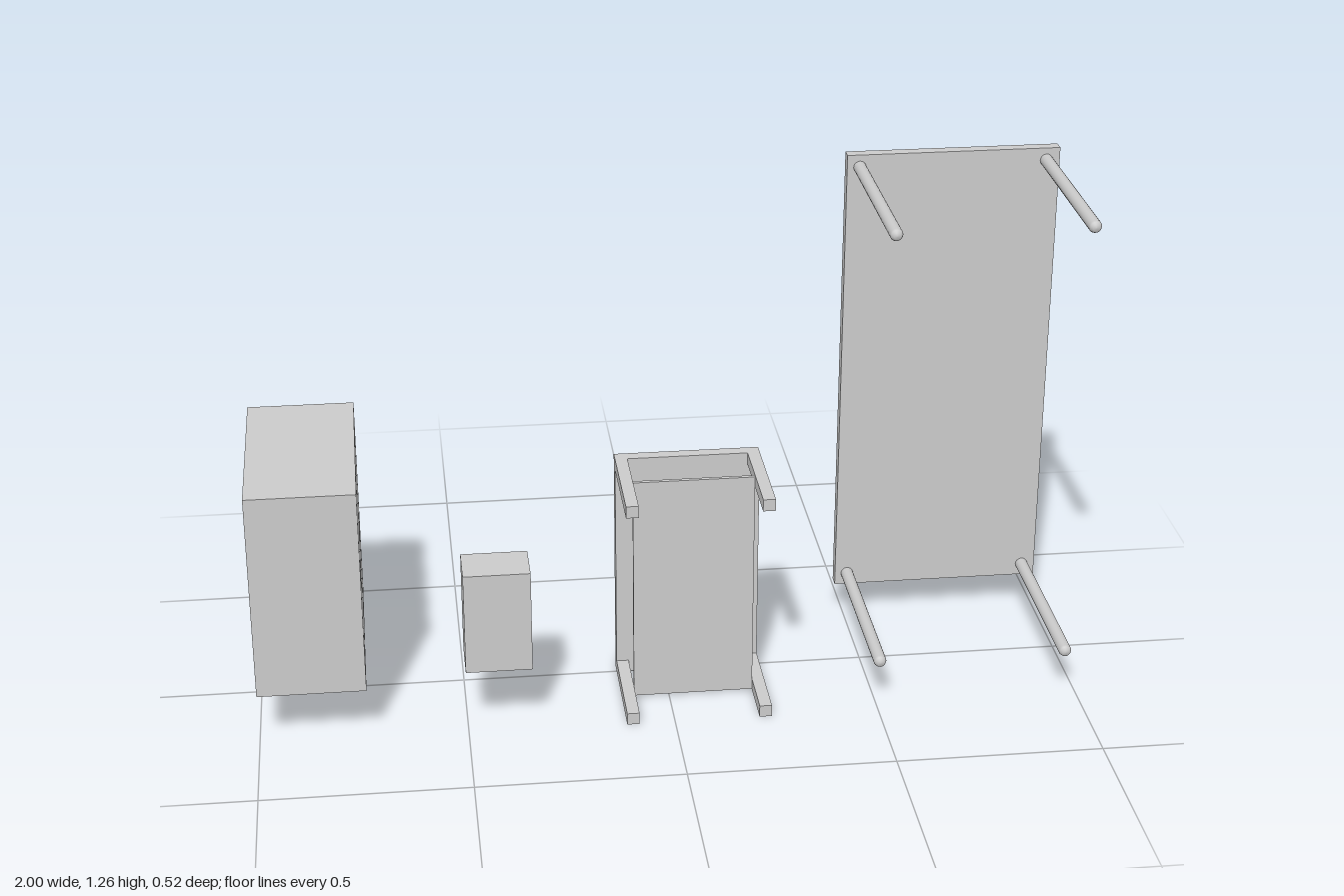
import * as THREE from 'three';

const material = new THREE.MeshStandardMaterial({ color: 0xcccccc });

// Box given by its min and max on each axis
function slab(parent, name, [x0, x1], [y0, y1], [z0, z1]) {
  const mesh = new THREE.Mesh(new THREE.BoxGeometry(x1 - x0, y1 - y0, z1 - z0), material);
  mesh.position.set((x0 + x1) / 2, (y0 + y1) / 2, (z0 + z1) / 2);
  mesh.name = name;
  parent.add(mesh);
  return mesh;
}

function piece(root, name) {
  const group = new THREE.Group();
  group.name = name;
  root.add(group);
  return group;
}

// Shelf unit with four cells, open through both sides
function buildShelfUnit(root) {
  const g = piece(root, 'shelfUnit');
  const x = [-1, -0.74];
  slab(g, 'shelfTop', x, [0.627, 0.656], [-0.26, 0.26]);
  slab(g, 'shelfBottom', x, [0.136, 0.165], [-0.26, 0.26]);
  slab(g, 'shelfFrontPanel', x, [0.165, 0.627], [0.231, 0.26]);
  slab(g, 'shelfBackPanel', x, [0.165, 0.627], [-0.26, -0.231]);
  slab(g, 'shelfUpright', x, [0.165, 0.627], [-0.005, 0.005]);
  slab(g, 'shelfBoardFront', x, [0.373, 0.384], [0.005, 0.231]);
  slab(g, 'shelfBoardBack', x, [0.373, 0.384], [-0.231, -0.005]);
}

// Storage box, open at the back
function buildStorageBox(root) {
  const g = piece(root, 'storageBox');
  const t = 0.008, x0 = -0.503, x1 = -0.343, y0 = 0.169, y1 = 0.427, z0 = 0.143, z1 = 0.26;
  slab(g, 'boxFront', [x0, x1], [y0, y1], [z1 - t, z1]);
  slab(g, 'boxTop', [x0, x1], [y1 - t, y1], [z0, z1 - t]);
  slab(g, 'boxBottom', [x0, x1], [y0, y0 + t], [z0, z1 - t]);
  slab(g, 'boxRightSide', [x0, x0 + t], [y0 + t, y1 - t], [z0, z1 - t]);
  slab(g, 'boxLeftSide', [x1 - t, x1], [y0 + t, y1 - t], [z0, z1 - t]);
}

// Low table lying on its side, with an under-shelf between square legs
function buildCoffeeTable(root) {
  const g = piece(root, 'coffeeTable');
  const t = 0.03, x0 = -0.117, x1 = 0.237, y0 = 0, y1 = 0.589;
  slab(g, 'coffeeTableTop', [x0, x1], [y0, y1], [-0.031, 0]);
  for (const x of [x0, x1 - t])
    for (const y of [y0, y1 - t])
      slab(g, 'coffeeTableLeg', [x, x + t], [y, y + t], [0, 0.26]);
  slab(g, 'coffeeTableShelf', [x0 + t, x1 - t], [y0 + 0.003, y1 - 0.003], [0.119, 0.129]);
}

// Large table lying on its side, with round legs
function buildTable(root) {
  const g = piece(root, 'table');
  slab(g, 'tableTop', [0.475, 1], [0.09, 1.26], [-0.26, -0.23]);
  const profile = [[0, 0], [0.0155, 0], [0.0155, 0.463], [0.013, 0.469], [0.008, 0.474], [0, 0.475]]
    .map(([r, h]) => new THREE.Vector2(r, h));
  const legGeometry = new THREE.LatheGeometry(profile, 20);
  legGeometry.rotateX(Math.PI / 2);
  for (const x of [0.506, 0.967])
    for (const y of [0.121, 1.229]) {
      const leg = new THREE.Mesh(legGeometry, material);
      leg.name = 'tableLeg';
      leg.position.set(x, y, -0.23);
      g.add(leg);
    }
}

export function createModel() {
  const root = new THREE.Group();
  root.name = 'furnitureSet';
  buildShelfUnit(root);
  buildStorageBox(root);
  buildCoffeeTable(root);
  buildTable(root);
  return root;
}
